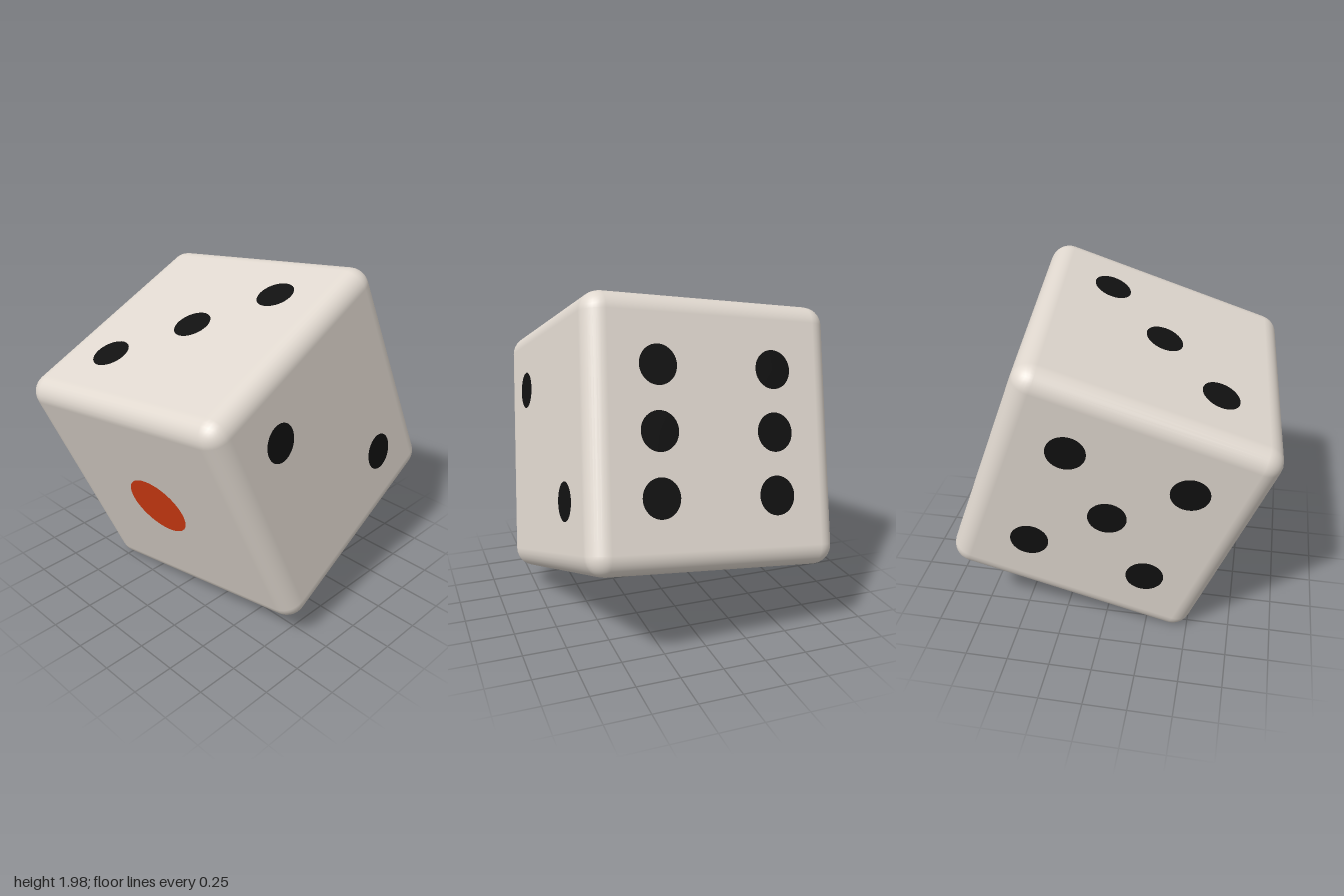
import * as THREE from 'three';
import { RoundedBoxGeometry } from 'three/addons/geometries/RoundedBoxGeometry.js';

const HALF = 0.741;   // half the side of the cube
const STEP = 0.348;   // pip distance from the face centre

export function createModel() {
  const ivory = new THREE.MeshStandardMaterial({ name: 'ivory', color: 0xe0d8cf });
  const black = new THREE.MeshStandardMaterial({ name: 'black', color: 0x111111 });
  const red = new THREE.MeshStandardMaterial({ name: 'red', color: 0xdd3f14 });

  const die = new THREE.Group();
  die.name = 'die';

  // Rounded cube body
  const body = new THREE.Mesh(new RoundedBoxGeometry(2 * HALF, 2 * HALF, 2 * HALF, 4, 0.113), ivory);
  body.name = 'body';
  die.add(body);

  // Faces: rotation turning +z to the face, and pip places in steps (face x, face y)
  const corners = [[-1, -1], [-1, 1], [1, -1], [1, 1]];
  const q = Math.PI / 2;
  const faces = [
    { name: 'one', rot: [0, 0, 0], pips: [[0, 0]], radius: 0.2, material: red },
    { name: 'two', rot: [0, q, 0], pips: [[-1, 1], [1, -1]] },
    { name: 'three', rot: [-q, 0, 0], pips: [[-1, -1], [0, 0], [1, 1]] },
    { name: 'four', rot: [q, 0, 0], pips: corners },
    { name: 'five', rot: [0, -q, 0], pips: [...corners, [0, 0]] },
    { name: 'six', rot: [0, Math.PI, 0], pips: [...corners, [-1, 0], [1, 0]] },
  ];

  // Flat painted pips just above each face
  for (const { name, rot, pips, radius = 0.109, material = black } of faces) {
    const face = new THREE.Group();
    face.name = name + 'Face';
    face.rotation.set(...rot);
    const disc = new THREE.CircleGeometry(radius, 40);
    for (const [x, y] of pips) {
      const pip = new THREE.Mesh(disc, material);
      pip.name = 'pip';
      pip.position.set(x * STEP, y * STEP, HALF + 0.002);
      face.add(pip);
    }
    die.add(face);
  }

  // Tilt the die as if caught in mid-roll
  const front = new THREE.Vector3(0.108, -0.343, 0.933).normalize();
  const right = new THREE.Vector3(-0.095, 0.932, 0.363).cross(front).normalize();
  const up = front.clone().cross(right);
  die.quaternion.setFromRotationMatrix(new THREE.Matrix4().makeBasis(right, up, front));
  die.position.y = 1;

  const model = new THREE.Group();
  model.name = 'model';
  model.add(die);
  return model;
}
